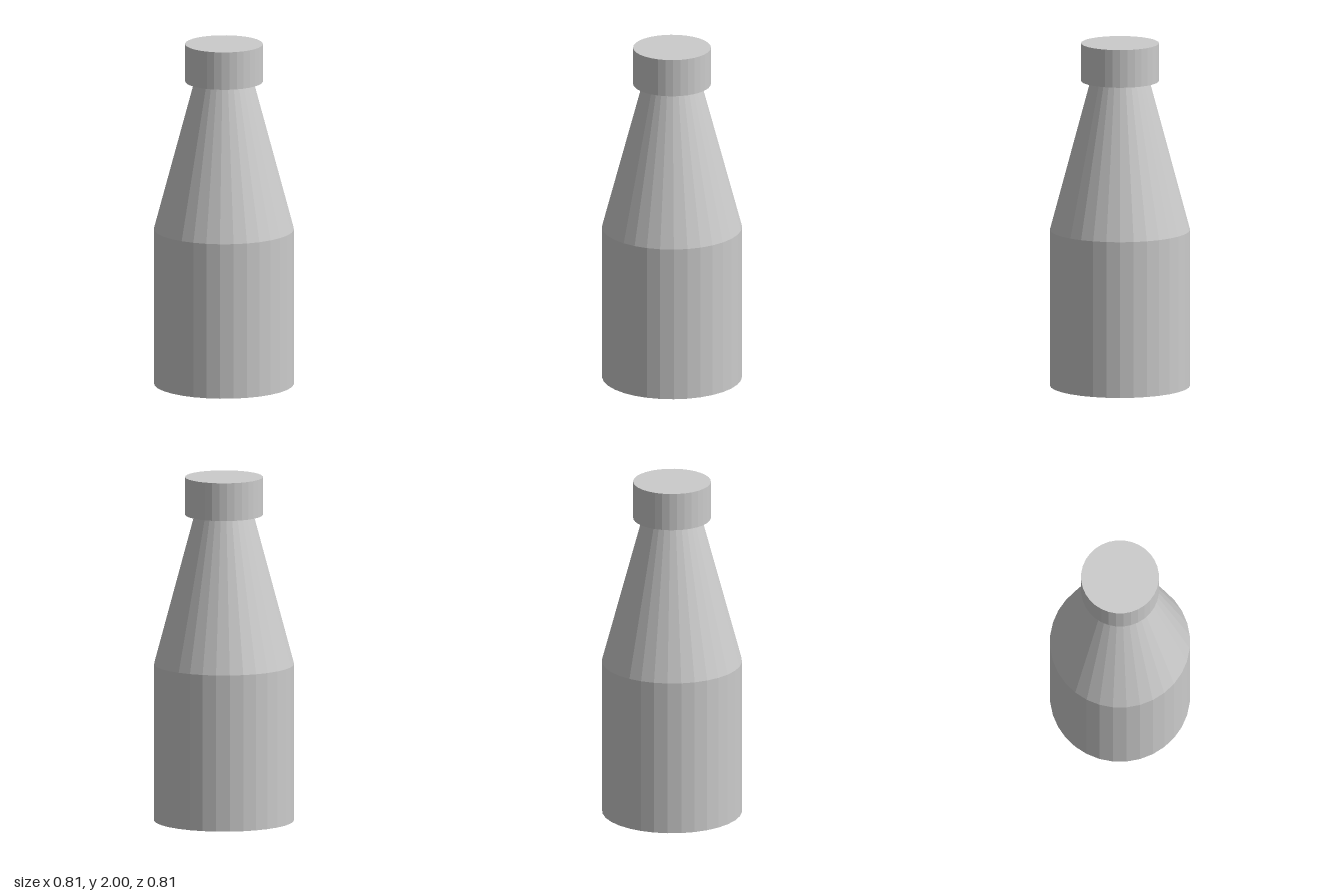
import * as THREE from 'three';

const SIDES = 32;

export function createModel() {
  const bottle = new THREE.Group();
  bottle.name = 'bottle';
  const material = new THREE.MeshStandardMaterial({ color: 0xcccccc, flatShading: true });

  // Adds a faceted ring of the bottle between two heights
  function addSection(name, bottomRadius, topRadius, bottomY, topY, openEnded = false) {
    const geometry = new THREE.CylinderGeometry(
      topRadius, bottomRadius, topY - bottomY, SIDES, 1, openEnded);
    const mesh = new THREE.Mesh(geometry, material);
    mesh.name = name;
    mesh.position.y = (bottomY + topY) / 2;
    bottle.add(mesh);
    return mesh;
  }

  // Body with a closed base, drawn as one profile with the tapering neck
  const profile = [[0, 0], [0.403, 0], [0.403, 0.91], [0.17, 1.78]]
    .map(([r, y]) => new THREE.Vector2(r, y));
  const body = new THREE.Mesh(new THREE.LatheGeometry(profile, SIDES), material);
  body.name = 'bodyAndNeck';
  bottle.add(body);

  // Cap overhanging the neck
  addSection('cap', 0.224, 0.224, 1.78, 2);

  return bottle;
}
